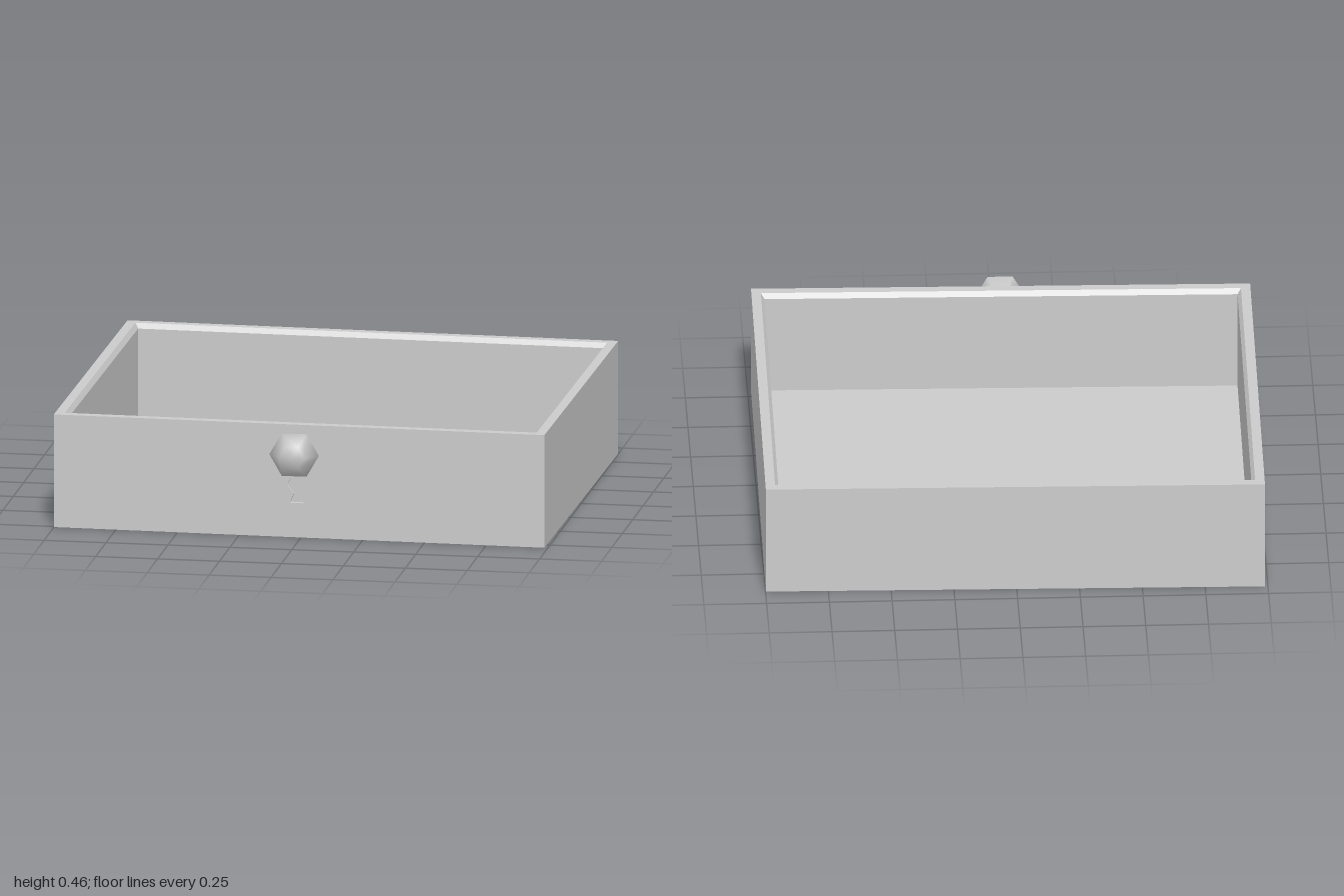
import * as THREE from 'three';

const HX = 0.9935, HZ = 0.85, TOP = 0.46; // half width, half depth, height

// The drawer is slightly askew: shear in plan
const skew = new THREE.Matrix4().set(
  1, 0, -0.0076, -0.001,
  0, 1, 0, 0,
  0.02, 0, 1, -0.07,
  0, 0, 0, 1);

const material = new THREE.MeshStandardMaterial({ color: 0xcccccc });

function addMesh(group, name, geometry) {
  const mesh = new THREE.Mesh(geometry, material);
  mesh.name = name;
  group.add(mesh);
}

// Flat-shaded geometry from four-cornered faces
function fromQuads(quads) {
  const pos = quads.flatMap(([a, b, c, d]) => [a, b, c, a, c, d].flat());
  const g = new THREE.BufferGeometry();
  g.setAttribute('position', new THREE.Float32BufferAttribute(pos, 3));
  g.applyMatrix4(skew);
  g.computeVertexNormals();
  return g;
}

// Rectangular cross-section of the tray, starting at the front left corner
const loop = (inset, y) => [[-1, 1], [1, 1], [1, -1], [-1, -1]]
  .map(([sx, sz]) => [sx * (HX - inset), y, sz * (HZ - inset)]);

const band = (a, b) => a.map((p, i) => {
  const j = (i + 1) % a.length;
  return [p, a[j], b[j], b[i]];
});

export function createModel() {
  const group = new THREE.Group();
  group.name = 'drawer';

  // Outer walls without the front, and the underside
  const base = loop(0, 0), rim = loop(0, TOP);
  addMesh(group, 'outerWalls', fromQuads([...band(base, rim).slice(1), [...base].reverse()]));

  // Rim with a chamfered inner lip
  const lip = loop(0.038, TOP), inner = loop(0.052, 0.44);
  addMesh(group, 'rim', fromQuads([...band(rim, lip), ...band(lip, inner)]));

  // Inside walls and floor
  const floor = loop(0.052, 0.028);
  addMesh(group, 'interior', fromQuads([...band(inner, floor), floor]));

  // Front panel with a keyhole cut into it
  const half = [[0.027, 0.14], [0.012, 0.178], [0.04, 0.212], [0.02, 0.247]];
  const keyhole = [
    ...half,
    ...[...half].reverse().map(([x, y]) => [-x, y]),
  ].map(([x, y]) => new THREE.Vector2(x - 0.01, y));
  const panel = new THREE.Shape([
    new THREE.Vector2(-HX, 0), new THREE.Vector2(HX, 0),
    new THREE.Vector2(HX, TOP), new THREE.Vector2(-HX, TOP)]);
  panel.holes.push(new THREE.Path(keyhole));
  const front = new THREE.ShapeGeometry(panel).translate(0, 0, HZ).applyMatrix4(skew);
  front.computeVertexNormals();
  addMesh(group, 'frontPanel', front);

  // Keyhole recess: sides and back
  const ring = z => keyhole.map(p => [p.x, p.y, z]);
  addMesh(group, 'keyholeSides', fromQuads(band(ring(HZ), ring(HZ - 0.02))));
  const back = new THREE.ShapeGeometry(new THREE.Shape(keyhole))
    .translate(0, 0, HZ - 0.02).applyMatrix4(skew);
  back.computeVertexNormals();
  addMesh(group, 'keyholeBack', back);

  // Six-sided knob on a flared neck
  const profile = [[0.05, 0.76], [0.045, 0.79], [0.036, 0.825], [0.1, 0.885], [0.05, 0.94], [0, 0.94]]
    .map(([r, z]) => new THREE.Vector2(r, z));
  const knob = new THREE.LatheGeometry(profile, 6, Math.PI / 2)
    .rotateX(Math.PI / 2).translate(-0.01, 0.36, 0);
  addMesh(group, 'knob', knob);

  return group;
}
